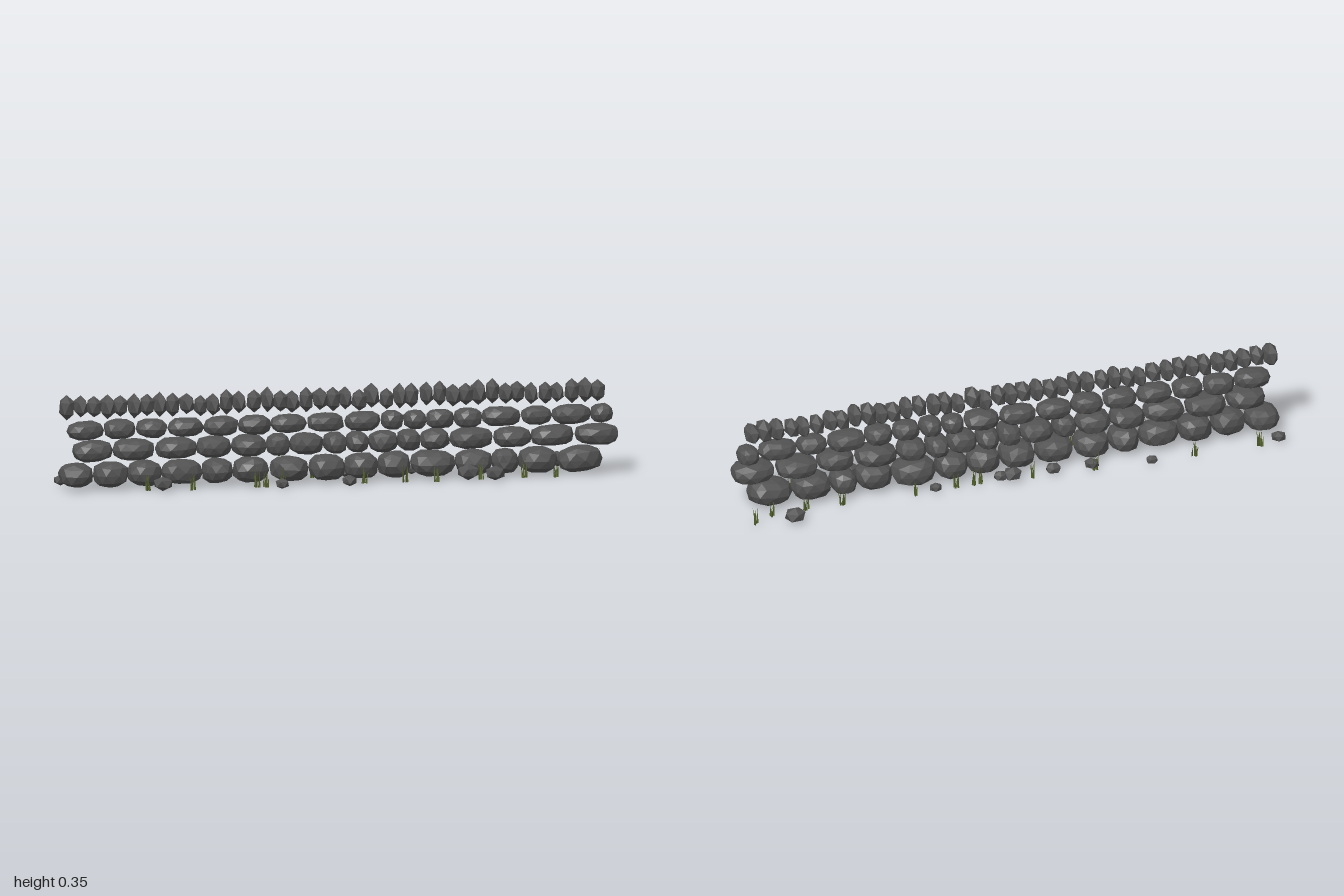
import * as THREE from 'three';
import { mergeGeometries, mergeVertices } from 'three/addons/utils/BufferGeometryUtils.js';

// Small seeded generator
let seed = 7;
function rand(min = 0, max = 1) {
  seed = (seed * 16807) % 2147483647;
  return min + (max - min) * (seed / 2147483647);
}

const stoneMat = new THREE.MeshStandardMaterial({ color: 0x525252 });
stoneMat.name = 'darkStone';
const grassMat = new THREE.MeshStandardMaterial({ color: 0x56632f });
grassMat.name = 'grassGreen';

// Faceted stone: icosahedron with a vertex on top, squared up, roughened and scaled to half sizes
function stone(detail, yaw, half, rough, power = 1) {
  let geo = new THREE.IcosahedronGeometry(1, detail);
  geo.deleteAttribute('normal');
  geo.deleteAttribute('uv');
  geo = mergeVertices(geo, 1e-3);
  geo.rotateZ(-Math.atan(2 / (1 + Math.sqrt(5)))).rotateY(yaw);
  const p = geo.attributes.position;
  const shape = (v) => Math.sign(v) * Math.abs(v) ** power + rand(-rough, rough);
  for (let i = 0; i < p.count; i++) p.setXYZ(i, shape(p.getX(i)), shape(p.getY(i)), shape(p.getZ(i)));
  geo.scale(...half);
  geo = geo.toNonIndexed();
  geo.computeVertexNormals();
  return geo;
}

// One leaning, curved blade of grass
function blade(height) {
  const geo = new THREE.ConeGeometry(0.0038, height, 3, 3).translate(0, height / 2, 0);
  const lean = rand(0.001, 0.014), turn = rand(0, Math.PI * 2);
  const p = geo.attributes.position;
  for (let i = 0; i < p.count; i++) {
    const bend = lean * (p.getY(i) / height) ** 2;
    p.setX(i, p.getX(i) + bend);
  }
  geo.rotateY(turn).translate(rand(-0.009, 0.009), 0, rand(-0.007, 0.007));
  geo.computeVertexNormals();
  return geo;
}

// Wall courses: joints between neighbouring stones along x, height range and half depth
const COURSES = [
  { name: 'baseCourse', y: [0.008, 0.102], depth: 0.064, joints: [-1, -0.88, -0.755, -0.635, -0.49,
    -0.38, -0.25, -0.11, 0.02, 0.14, 0.255, 0.415, 0.545, 0.64, 0.78, 0.94] },
  { name: 'secondCourse', y: [0.1, 0.179], depth: 0.061, joints: [-0.955, -0.81, -0.66, -0.51, -0.385,
    -0.26, -0.175, -0.055, 0.025, 0.105, 0.21, 0.29, 0.395, 0.55, 0.685, 0.84, 1] },
  { name: 'thirdCourse', y: [0.176, 0.248], depth: 0.048, joints: [-0.975, -0.84, -0.725, -0.615, -0.485,
    -0.36, -0.245, -0.115, 0.02, 0.15, 0.23, 0.31, 0.41, 0.51, 0.65, 0.76, 0.9, 0.98] },
];

// Loose stones on the ground: x, z, half size
const LOOSE = [[-0.97, -0.1, 0.026], [-0.65, 0.1, 0.034], [-0.5, -0.12, 0.021], [-0.29, -0.09, 0.026],
  [-0.15, -0.085, 0.027], [-0.235, 0.15, 0.025], [0, -0.088, 0.034], [0.04, -0.08, 0.026],
  [0.01, 0.135, 0.026], [0.28, -0.085, 0.022], [0.445, 0.088, 0.038], [0.535, 0.115, 0.035],
  [0.815, -0.148, 0.037]];

// Grass tufts: x, z
const TUFTS = [[-0.9, -0.11], [-0.7, 0.08], [-0.66, -0.11], [-0.545, 0.1], [-0.31, 0.09], [-0.28, 0.095],
  [-0.3, -0.1], [-0.22, 0.095], [-0.075, -0.09], [0.11, -0.075], [0.14, -0.08], [0.2, -0.08],
  [0.075, 0.075], [0.22, 0.08], [0.33, 0.1], [0.35, -0.09], [0.49, 0.08], [0.65, 0.075],
  [0.62, -0.075], [0.76, 0.085], [0.75, -0.075], [0.875, -0.085], [0.95, -0.12]];

export function createModel() {
  seed = 7;
  const model = new THREE.Group();
  model.name = 'dryStoneWall';
  const group = (name) => {
    const g = new THREE.Group();
    g.name = name;
    model.add(g);
    return g;
  };
  const add = (parent, name, geo, mat, x, y, z) => {
    const mesh = new THREE.Mesh(geo, mat);
    mesh.name = name;
    mesh.position.set(x, y, z);
    parent.add(mesh);
    return mesh;
  };

  // Three courses of rounded stones
  for (const { name, y: [low, high], depth, joints } of COURSES) {
    const course = group(name);
    for (let i = 0; i + 1 < joints.length; i++) {
      const half = [(joints[i + 1] - joints[i]) / 2, (high - low) / 2 * rand(0.92, 1), depth * rand(0.92, 1.06)];
      const geo = stone(1, rand(0, 6), half, 0.045, 0.82);
      const mesh = add(course, 'wallStone', geo, stoneMat, (joints[i] + joints[i + 1]) / 2, (low + high) / 2,
        0.007 + rand(-0.006, 0.006));
      mesh.rotation.z = rand(-0.05, 0.05);
    }
  }

  // Upright narrow stones along the top
  const coping = group('coping');
  const count = 41;
  for (let i = 0; i < count; i++) {
    const tall = rand(0.036, 0.047);
    const geo = stone(0, i % 2 ? Math.PI / 2 : -Math.PI / 2, [rand(0.024, 0.03), tall, 0.051], 0.02);
    add(coping, 'copingStone', geo, stoneMat, -0.97 + 1.895 * i / (count - 1) + rand(-0.004, 0.004),
      0.256 + tall + rand(-0.008, 0.002), 0.007);
  }

  // Fallen stones beside the wall
  const loose = group('looseStones');
  for (const [x, z, r] of LOOSE) {
    const geo = stone(0, rand(0, 6), [r * 1.08, r * 0.75, r], 0.05);
    add(loose, 'looseStone', geo, stoneMat, x, 0.004 + r * 0.75, z);
  }

  // Grass along the foot of the wall
  const grass = group('grass');
  for (const [x, z] of TUFTS) {
    const blades = Array.from({ length: 6 }, () => blade(rand(0.035, 0.072)));
    add(grass, 'grassTuft', mergeGeometries(blades), grassMat, x, 0.003, z);
  }
  return model;
}
